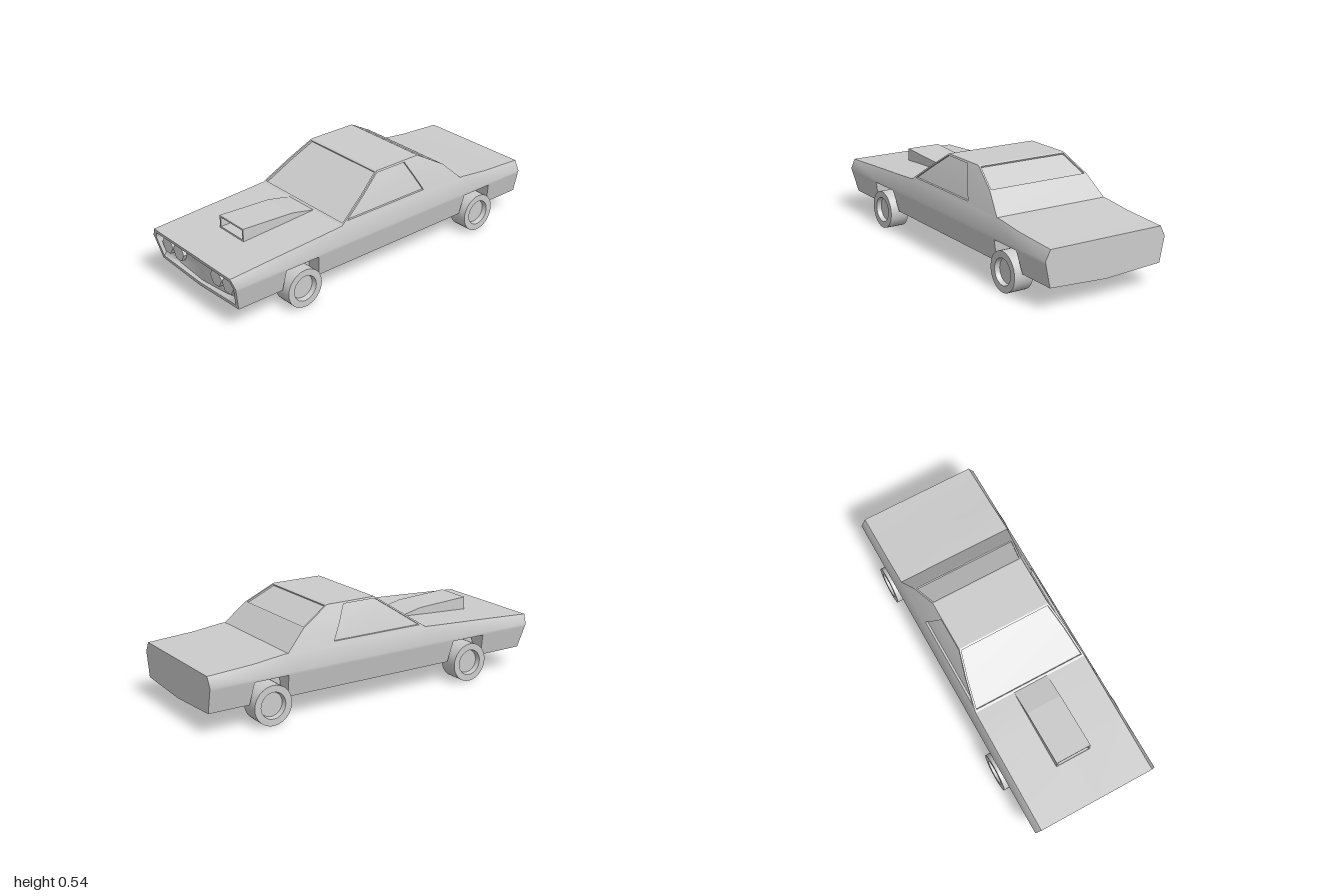
import * as THREE from 'three';
import { toCreasedNormals } from 'three/addons/utils/BufferGeometryUtils.js';

const material = new THREE.MeshStandardMaterial({ color: 0xcccccc });
const lerp = THREE.MathUtils.lerp;

// Collects triangles and quads, skipping degenerate ones
function surface() {
  const out = [];
  const tri = (a, b, c) => {
    const [p, q, r] = [a, b, c].map(v => new THREE.Vector3(...v));
    if (new THREE.Triangle(p, q, r).getArea() > 1e-8) out.push(...a, ...b, ...c);
  };
  const quad = (a, b, c, d) => { tri(a, b, c); tri(a, c, d); };
  const strip = (A, B) => A.forEach((p, i) => {
    const j = (i + 1) % A.length;
    quad(p, A[j], B[j], B[i]);
  });
  // Panel with an opening whose pane is set back by an offset
  const recessedPanel = (outline, hole, offset) => {
    const pane = hole.map(p => p.map((v, k) => v + offset[k]));
    const n = pane.length;
    strip(outline, hole);
    strip(hole, pane);
    for (let i = 0; i < n / 2 - 1; i++) {
      quad(pane[(n - i) % n], pane[i + 1], pane[i + 2], pane[n - 1 - i]);
    }
  };
  const mesh = (name, crease) => {
    let g = new THREE.BufferGeometry();
    g.setAttribute('position', new THREE.Float32BufferAttribute(out, 3));
    g = toCreasedNormals(g, crease);
    const m = new THREE.Mesh(g, material);
    m.name = name;
    return m;
  };
  return { tri, quad, strip, recessedPanel, mesh };
}

// Full ring from half a cross-section; z leans from zTop to zBottom
function ring(half, zTop, zBottom) {
  const pts = half.concat(half.slice(1, -1).reverse().map(([x, y]) => [-x, y]));
  return pts.map(([x, y]) => {
    const t = THREE.MathUtils.clamp((y - 0.11) / 0.195, 0, 1);
    return [x, y, lerp(zBottom, zTop, t)];
  });
}

function section(top, arch) {
  return [[0, top], [0.33, top], [0.358, 0.255], [0.355, 0.24],
    arch ? [0.257, 0.22] : [0.33, 0.12], [0.257, 0.116], [0, 0.102]];
}

// Lower body: grille recess, nose, wheel arches and tail in one loft
function createBody() {
  const s = surface();
  const grilleBack = [[0, 0.285], [0.315, 0.285], [0.33, 0.25], [0.327, 0.235],
    [0.31, 0.17], [0.2, 0.148], [0, 0.127]];
  const grilleRim = [[0, 0.285], [0.317, 0.285], [0.335, 0.25], [0.332, 0.235],
    [0.312, 0.14], [0.24, 0.136], [0, 0.123]];
  const rings = [ring(grilleBack, 0.955, 0.938), ring(grilleRim, 1, 0.955)];
  // zTop, zBottom, deck height, inside a wheel arch
  const stations = [
    [1, 0.955, 0.305, 0],
    [0.674, 0.69, 0.324, 0], [0.674, 0.69, 0.324, 1],
    [0.485, 0.453, 0.334, 1], [0.485, 0.453, 0.334, 0],
    [0.3, 0.3, 0.345, 0],
    [-0.57, -0.55, 0.345, 0], [-0.57, -0.55, 0.345, 1],
    [-0.745, -0.775, 0.325, 1], [-0.745, -0.775, 0.325, 0],
    [-1, -1, 0.31, 0],
  ];
  for (const [zt, zb, top, arch] of stations) rings.push(ring(section(top, arch), zt, zb));
  for (let i = 0; i < rings.length - 1; i++) s.strip(rings[i], rings[i + 1]);
  const front = rings[0], rear = rings[rings.length - 1];
  front.forEach((p, i) => s.tri([0, 0.2, 0.946], front[(i + 1) % front.length], p));
  rear.forEach((p, i) => s.tri([0, 0.2, -1], p, rear[(i + 1) % rear.length]));
  return s.mesh('body', 0.75);
}

// Cabin with recessed windscreen, side windows and rear window
function createCabin() {
  const s = surface();
  const width = y => (y < 0.45 ? lerp(0.33, 0.3, (y - 0.345) / 0.105)
    : lerp(0.3, 0.265, (y - 0.45) / 0.09));
  const frontZ = y => 0.3 - 0.29 * (y - 0.345) / 0.195;
  const rearZ = y => lerp(-0.44, -0.28, (y - 0.45) / 0.09);

  // Windscreen
  const screen = (ys, inset) => {
    const pt = (y, sx) => [sx * (width(y) - inset), y, frontZ(y)];
    const [a, b, c] = ys;
    return [pt(a, -1), pt(a, 1), pt(b, 1), pt(c, 1), pt(c, -1), pt(b, -1)];
  };
  s.recessedPanel(screen([0.345, 0.45, 0.54], 0), screen([0.353, 0.45, 0.534], 0.01),
    [0, -0.01, -0.007]);

  // Sides
  const wall = [[0.345, 0.3], [0.345, -0.55], [0.45, -0.44], [0.54, -0.28], [0.54, 0.01], [0.45, 0.144]];
  const opening = [[0.36, 0.262], [0.36, -0.275], [0.45, -0.225], [0.53, -0.182], [0.53, 0.012], [0.45, 0.13]];
  for (const side of [1, -1]) {
    const place = list => {
      const p = list.map(([y, z]) => [side * width(y), y, z]);
      return side > 0 ? p : p.map((_, i) => p[(p.length + 1 - i) % p.length]);
    };
    s.recessedPanel(place(wall), place(opening), [-0.012 * side, 0, 0]);
  }

  // Rear window and the slope below it
  const back = (lo, hi, inset) => [[lo, 1], [lo, -1], [hi, -1], [hi, 1]]
    .map(([y, sx]) => [sx * (width(y) - inset), y, rearZ(y)]);
  s.recessedPanel(back(0.45, 0.54, 0), back(0.453, 0.535, 0.01), [0, -0.008, 0.004]);
  s.quad([0.33, 0.345, -0.55], [-0.33, 0.345, -0.55], [-0.3, 0.45, -0.44], [0.3, 0.45, -0.44]);

  // Roof
  s.quad([0.265, 0.54, 0.01], [0.265, 0.54, -0.28], [-0.265, 0.54, -0.28], [-0.265, 0.54, 0.01]);
  return s.mesh('cabin', 0.1);
}

// Bonnet air scoop with an open mouth
function createScoop() {
  const s = surface();
  const rect = (x, lo, hi) => [[-x, lo, 0.75], [x, lo, 0.75], [x, hi, 0.75], [-x, hi, 0.75]];
  s.recessedPanel(rect(0.1, 0.315, 0.39), rect(0.091, 0.328, 0.381), [0, 0, -0.06]);
  const profile = [[0.75, 0.39], [0.44, 0.375], [0.3, 0.345]];
  for (let i = 0; i < 2; i++) {
    const [z0, y0] = profile[i], [z1, y1] = profile[i + 1], x = 0.1, b = 0.315;
    s.quad([-x, y0, z0], [x, y0, z0], [x, y1, z1], [-x, y1, z1]);
    s.quad([x, b, z0], [x, b, z1], [x, y1, z1], [x, y0, z0]);
    s.quad([-x, b, z1], [-x, b, z0], [-x, y0, z0], [-x, y1, z1]);
  }
  return s.mesh('bonnetScoop', 0.1);
}

export function createModel() {
  const car = new THREE.Group();
  car.name = 'car';
  car.add(createBody(), createCabin(), createScoop());

  // Hexagonal headlights
  const lamp = new THREE.CylinderGeometry(0.048, 0.048, 0.03, 6);
  lamp.rotateY(Math.PI / 2).rotateX(Math.PI / 2);
  const lampGeometry = toCreasedNormals(lamp, 0.3);
  for (const x of [-0.262, -0.163, 0.163, 0.262]) {
    const m = new THREE.Mesh(lampGeometry, material);
    m.name = 'headlight';
    m.position.set(x, 0.227, 0.953);
    car.add(m);
  }

  // Wheels with a sunken hub on the outer face
  const profile = [[0, 0.263], [0.106, 0.263], [0.106, 0.371], [0.07, 0.371], [0.064, 0.345], [0, 0.345]]
    .map(p => new THREE.Vector2(...p));
  const wheelGeometry = toCreasedNormals(new THREE.LatheGeometry(profile, 32), 0.6);
  for (const [end, z] of [['front', 0.577], ['rear', -0.662]]) {
    for (const side of [1, -1]) {
      const wheel = new THREE.Mesh(wheelGeometry, material);
      wheel.name = end + (side > 0 ? 'LeftWheel' : 'RightWheel');
      wheel.rotation.z = -side * Math.PI / 2;
      wheel.position.set(0, 0.106, z);
      car.add(wheel);
    }
  }
  return car;
}
